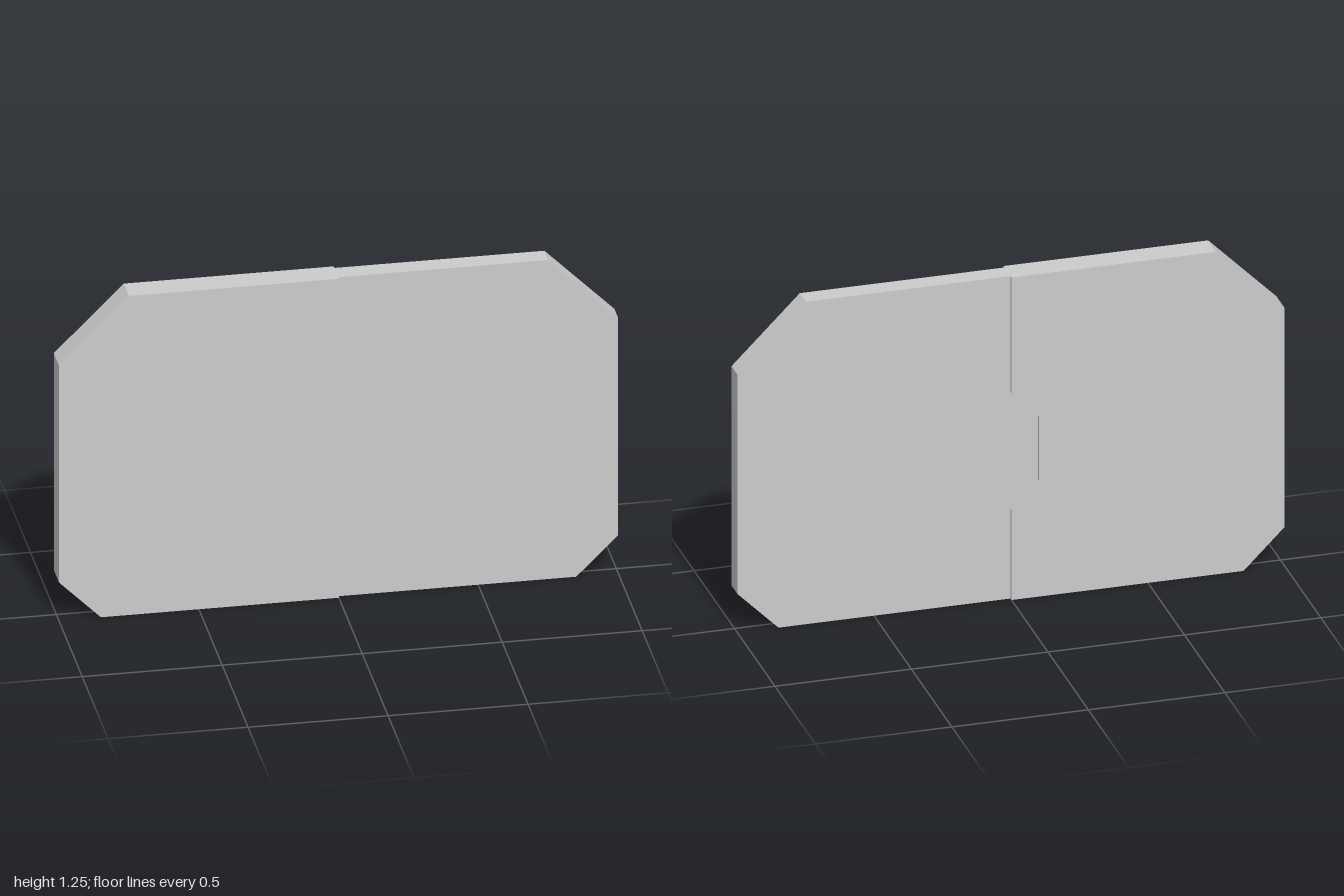
import * as THREE from 'three';

// Interlocking seam between the two panels, bottom to top
const seam = [[0, 0], [0, 0.35], [-0.1, 0.45], [-0.1, 0.7], [0, 0.8], [0, 1.25]];

// Outer edge with clipped corners, top to bottom; side is +1 or -1
const outerEdge = (side) =>
  [[0.75, 1.25], [1, 1], [1, 0.15], [0.85, 0]].map(([x, y]) => [side * x, y]);

function panel(name, side, thickness) {
  const outline = [...seam, ...outerEdge(side)].map(([x, y]) => new THREE.Vector2(x, y));
  const geometry = new THREE.ExtrudeGeometry(new THREE.Shape(outline), {
    depth: thickness,
    bevelEnabled: false,
  });
  geometry.translate(0, 0, -thickness / 2);
  const mesh = new THREE.Mesh(
    geometry,
    new THREE.MeshStandardMaterial({ color: 0xcccccc, flatShading: true })
  );
  mesh.name = name;
  return mesh;
}

export function createModel() {
  const group = new THREE.Group();
  group.name = 'doublePanelDoor';
  // Thinner panel carries the tongue, thicker panel the notch
  group.add(panel('leftDoorPanel', 1, 0.075));
  group.add(panel('rightDoorPanel', -1, 0.1));
  return group;
}
